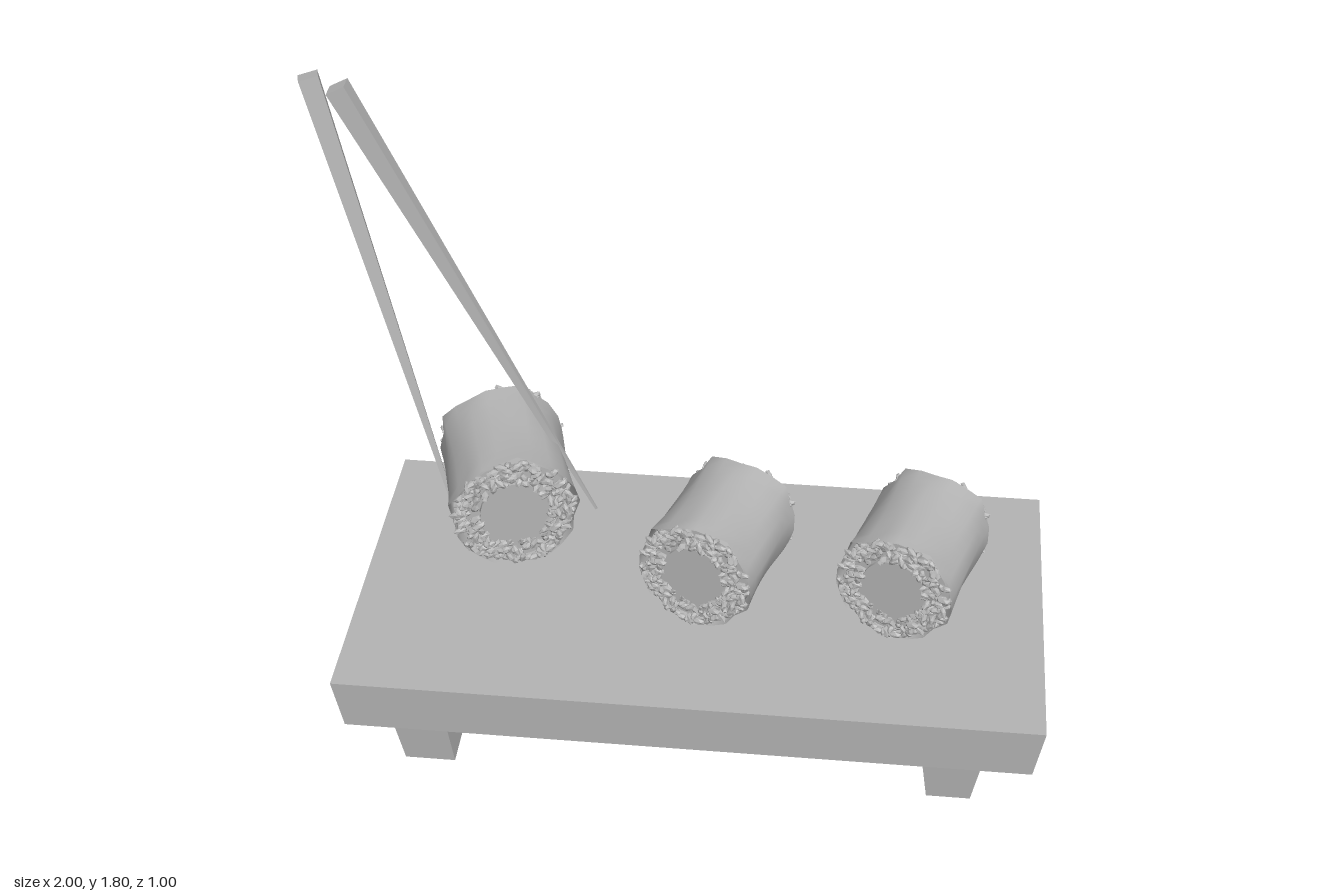
import * as THREE from 'three';
import { mergeGeometries, mergeVertices } from 'three/addons/utils/BufferGeometryUtils.js';

const clay = new THREE.MeshStandardMaterial({ color: 0xb4b4b4, side: THREE.DoubleSide });
clay.name = 'plainGrey';

function makeRandom(seed) {
  return () => {
    seed = (seed * 16807) % 2147483647;
    return seed / 2147483647;
  };
}

function addMesh(parent, name, geometry) {
  const mesh = new THREE.Mesh(geometry, clay);
  mesh.name = name;
  parent.add(mesh);
  return mesh;
}

// Box whose lower and upper rectangles [x0, x1, z0, z1] differ
function taperedBox(y0, y1, lower, upper) {
  const g = new THREE.BoxGeometry(1, 1, 1);
  const p = g.attributes.position;
  for (let i = 0; i < p.count; i++) {
    const r = p.getY(i) > 0 ? upper : lower;
    p.setXYZ(i, p.getX(i) > 0 ? r[1] : r[0], p.getY(i) > 0 ? y1 : y0, p.getZ(i) > 0 ? r[3] : r[2]);
  }
  g.computeVertexNormals();
  return g;
}

// Seaweed wrapper: an open tube along z with soft folds and ragged ends
function wrapperGeometry() {
  let g = new THREE.CylinderGeometry(1, 1, 2, 22, 8, true);
  g.deleteAttribute('uv');
  g.deleteAttribute('normal');
  g = mergeVertices(g.rotateX(Math.PI / 2), 1e-4);
  const p = g.attributes.position;
  for (let i = 0; i < p.count; i++) {
    const a = Math.atan2(p.getY(i), p.getX(i));
    const t = p.getZ(i);
    const flare = 0.005 * t * t;
    const folds = 0.004 * Math.sin(5 * a + 2.2 * t) + (0.002 + 0.004 * t * t) * Math.sin(9 * a - 1.5 * t);
    const r = 0.16 + flare + folds;
    const ragged = 0.006 * Math.sin(4 * a + t) + 0.004 * Math.sin(7 * a);
    p.setXYZ(i, r * Math.cos(a), r * Math.sin(a), t * (0.165 + ragged * t * t));
  }
  g.computeVertexNormals();
  return g;
}

// Ring of faceted rice grains on one end of a roll
function riceGeometry(end, random) {
  const grains = [];
  const dummy = new THREE.Object3D();
  for (let i = 0; i < 210; i++) {
    const r = Math.sqrt(0.093 ** 2 + random() * (0.154 ** 2 - 0.093 ** 2));
    const a = i * 2.39996;
    dummy.position.set(r * Math.cos(a), r * Math.sin(a), end * (0.158 + 0.016 * random()));
    dummy.rotation.set(random() * 6, random() * 6, random() * 6);
    dummy.scale.set(0.009, 0.01, 0.017 + 0.006 * random());
    dummy.updateMatrix();
    grains.push(new THREE.IcosahedronGeometry(1, 0).applyMatrix4(dummy.matrix));
  }
  return mergeGeometries(grains);
}

function makeRoll(name, seed) {
  const roll = new THREE.Group();
  roll.name = name;
  const random = makeRandom(seed);
  addMesh(roll, 'seaweedWrapper', wrapperGeometry());
  addMesh(roll, 'riceBody', new THREE.CylinderGeometry(0.15, 0.15, 0.31, 22).rotateX(Math.PI / 2));
  addMesh(roll, 'filling', new THREE.CylinderGeometry(0.092, 0.092, 0.334, 20).rotateX(Math.PI / 2));
  addMesh(roll, 'frontRice', riceGeometry(1, random));
  addMesh(roll, 'backRice', riceGeometry(-1, random));
  return roll;
}

// Square stick tapering from its top to a fine tip
function makeChopstick(name, tip, top, twist) {
  const a = new THREE.Vector3(...tip);
  const axis = new THREE.Vector3(...top).sub(a);
  const h = 0.026, s = 0.003;
  const stick = new THREE.Group();
  stick.name = name;
  const mesh = addMesh(stick, 'stick', taperedBox(0, axis.length(), [-s, s, -s, s], [-h, h, -h, h]));
  mesh.rotation.y = twist;
  stick.position.copy(a);
  stick.quaternion.setFromUnitVectors(new THREE.Vector3(0, 1, 0), axis.normalize());
  return stick;
}

export function createModel() {
  const model = new THREE.Group();
  model.name = 'sushiBoard';

  // Serving board on two long feet
  addMesh(model, 'board', taperedBox(0.135, 0.29, [-0.88, 0.973, -0.487, 0.49], [-0.905, 0.997, -0.5, 0.5]));
  addMesh(model, 'rightFoot', taperedBox(0, 0.135, [-0.727, -0.59, -0.457, 0.46], [-0.75, -0.604, -0.47, 0.473]));
  addMesh(model, 'leftFoot', taperedBox(0, 0.135, [0.7, 0.818, -0.457, 0.46], [0.682, 0.84, -0.47, 0.473]));

  // Two rolls on the board, one held up
  [0.09, 0.63].forEach((x, i) => {
    const roll = makeRoll('restingRoll' + (i + 1), 77);
    roll.position.set(x, 0.46, 0);
    roll.rotation.y = -0.31;
    model.add(roll);
  });
  const held = makeRoll('heldRoll', 77);
  held.position.set(-0.49, 0.648, 0);
  held.rotation.set(0, 0.28, 0.5);
  held.scale.set(1.04, 1.04, 1.04);
  model.add(held);

  // Chopsticks gripping the raised roll
  model.add(makeChopstick('outerChopstick', [-0.62, 0.415, 0.01], [-0.968, 1.783, -0.114], 0.3));
  model.add(makeChopstick('innerChopstick', [-0.25, 0.54, -0.01], [-0.878, 1.792, -0.048], 0.05));
  return model;
}
